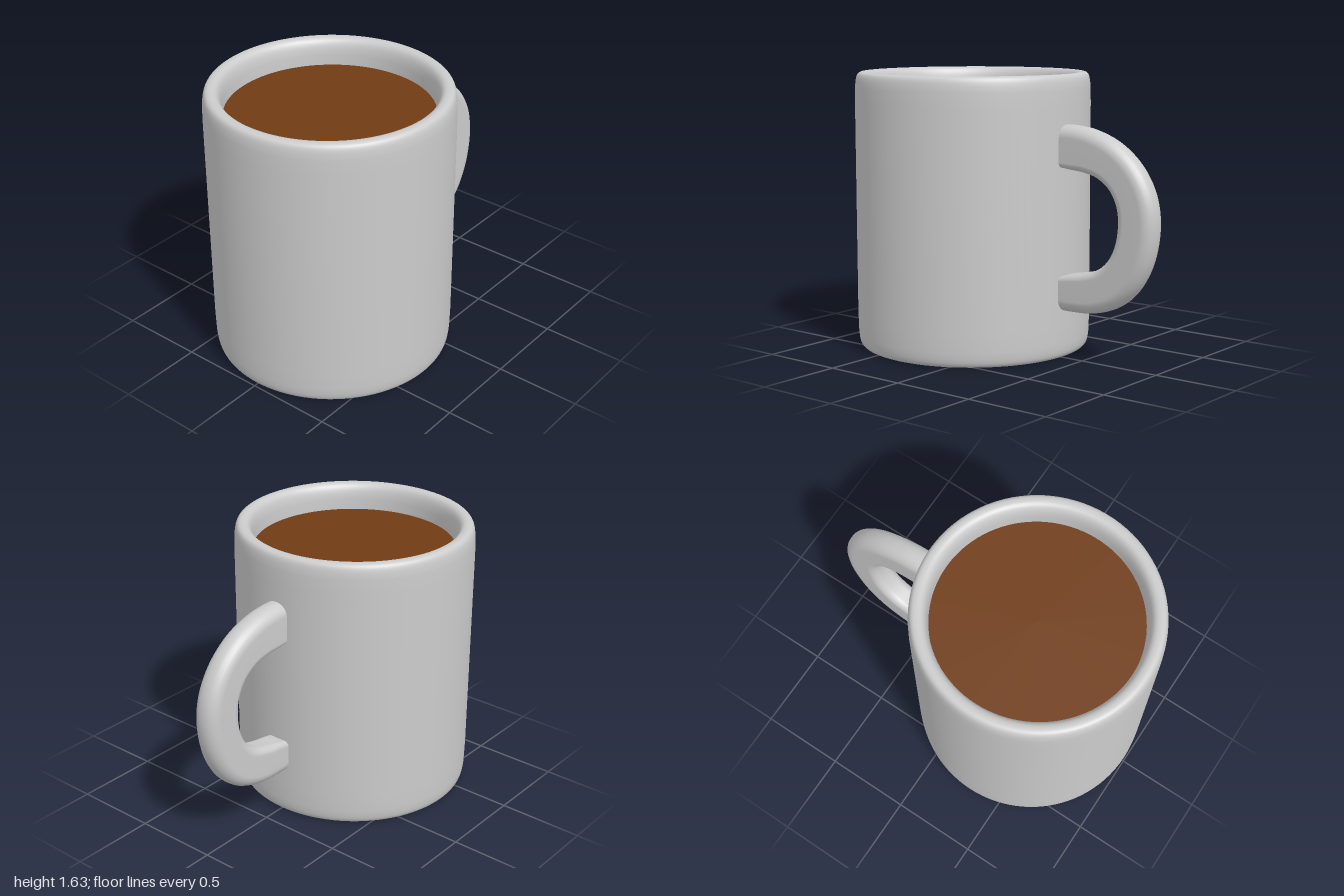
import * as THREE from 'three';

const CUP_X = -0.305;
const grey = new THREE.MeshStandardMaterial({ color: 0xcccccc });
const brown = new THREE.MeshStandardMaterial({ color: 0x703c15 });

// Cup wall: one closed profile, recessed base -> foot ring -> outside -> rim -> inside floor
function cupBody() {
  const p = new THREE.Path();
  p.moveTo(0, 0.04);
  p.lineTo(0.3, 0.04);
  p.lineTo(0.57, 0.04);
  p.bezierCurveTo(0.61, 0.04, 0.605, 0, 0.645, 0);
  p.bezierCurveTo(0.68, 0, 0.688, 0.02, 0.692, 0.09);
  p.lineTo(0.695, 0.2);
  p.lineTo(0.695, 1.45);
  p.lineTo(0.693, 1.54);
  p.bezierCurveTo(0.688, 1.61, 0.68, 1.627, 0.645, 1.627);
  p.bezierCurveTo(0.61, 1.627, 0.593, 1.6, 0.588, 1.53);
  p.lineTo(0.585, 1.45);
  p.lineTo(0.585, 0.2);
  p.quadraticCurveTo(0.585, 0.12, 0.5, 0.12);
  p.lineTo(0, 0.12);
  const mesh = new THREE.Mesh(new THREE.LatheGeometry(p.getPoints(10), 96), grey);
  mesh.name = 'cupBody';
  mesh.position.x = CUP_X;
  return mesh;
}

function liquid() {
  const mesh = new THREE.Mesh(new THREE.CircleGeometry(0.587, 96).rotateX(-Math.PI / 2), brown);
  mesh.name = 'liquid';
  mesh.position.set(CUP_X, 1.47, 0);
  return mesh;
}

const curve = (pts) => new THREE.CatmullRomCurve3(pts.map(([x, y]) => new THREE.Vector3(x, y, 0)));

// Handle: rounded sections spanned between an outer and an inner curve
function handle() {
  const outer = curve([[0.34, 1.348], [0.45, 1.347], [0.58, 1.328], [0.74, 1.265], [0.88, 1.15], [0.97, 1.0],
    [1.0, 0.83], [0.967, 0.62], [0.88, 0.455], [0.76, 0.35], [0.6, 0.293], [0.45, 0.282], [0.34, 0.284]]);
  const inner = curve([[0.34, 1.115], [0.43, 1.102], [0.53, 1.09], [0.62, 1.065], [0.7, 1.01], [0.75, 0.925],
    [0.765, 0.83], [0.748, 0.705], [0.7, 0.61], [0.63, 0.55], [0.53, 0.517], [0.43, 0.498], [0.34, 0.475]]);
  const STEPS = 72, ARC = 6, W = 0.078, R_OUTER = 0.07;
  const pos = [], index = [];
  const ring = 4 * (ARC + 1);
  for (let i = 0; i <= STEPS; i++) {
    const t = i / STEPS;
    const o = outer.getPoint(t), n = inner.getPoint(t);
    const mid = o.clone().add(n).multiplyScalar(0.5);
    const half = o.distanceTo(n) / 2;
    const dir = o.clone().sub(n).normalize();
    // Inner edges are crisp at the cup and soften around the bend
    const rInner = 0.025 + 0.03 * Math.sin(Math.PI * t);
    for (let c = 0; c < 4; c++) {
      const su = c === 0 || c === 3 ? 1 : -1, sz = c < 2 ? 1 : -1;
      const r = su > 0 ? R_OUTER : rInner;
      for (let k = 0; k <= ARC; k++) {
        const a = (c + k / ARC) * Math.PI / 2;
        const u = su * (half - r) + r * Math.cos(a);
        const z = sz * (W - r) + r * Math.sin(a);
        pos.push(mid.x + dir.x * u, mid.y + dir.y * u, z);
      }
    }
    if (i === STEPS) break;
    for (let j = 0; j < ring; j++) {
      const a = i * ring + j, b = i * ring + (j + 1) % ring;
      index.push(a, b, a + ring, b, b + ring, a + ring);
    }
  }
  const g = new THREE.BufferGeometry();
  g.setAttribute('position', new THREE.Float32BufferAttribute(pos, 3));
  g.setIndex(index);
  g.computeVertexNormals();
  const mesh = new THREE.Mesh(g, grey);
  mesh.name = 'handle';
  return mesh;
}

export function createModel() {
  const group = new THREE.Group();
  group.name = 'mug';
  group.add(cupBody(), liquid(), handle());
  return group;
}
